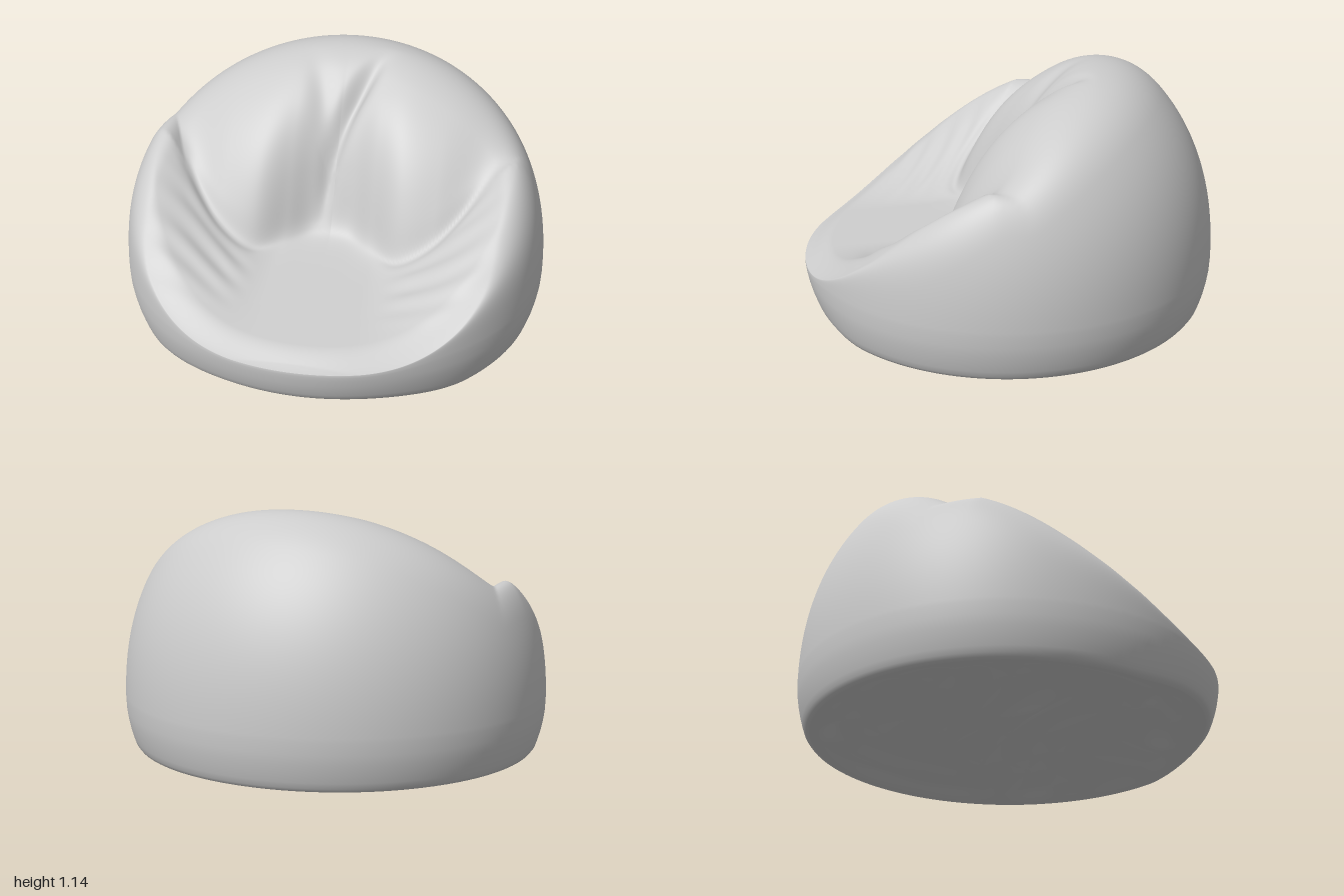
import * as THREE from 'three';

const SEG = 256;
const smooth = THREE.MathUtils.smoothstep;
const gauss = (d, w) => Math.exp(-(d * d) / (w * w));

// smooth minimum, rounds the rim where dome and seat meet
function smin(a, b, k) {
  const h = Math.max(k - Math.abs(a - b), 0);
  return Math.min(a, b) - (h * h) / (4 * k);
}

// z of the fold between seat and backrest, for half-width |x|
const foldCurve = new THREE.CatmullRomCurve3([
  [0, 0.1], [0.1, 0.12], [0.2, 0.19], [0.34, 0.28], [0.5, 0.25], [0.7, 0.1], [0.85, 0], [1.05, -0.1],
].map(([x, z]) => new THREE.Vector3(x, 0, z))).getPoints(200);

function foldZ(x) {
  const ax = Math.min(Math.abs(x), 1.04);
  const i = foldCurve.findIndex((p) => p.x > ax);
  const a = foldCurve[i - 1], b = foldCurve[i];
  return a.z + ((b.z - a.z) * (ax - a.x)) / (b.x - a.x);
}

// distance from (x, z) to the segment a-b
function segDist(x, z, a, b) {
  const dx = b[0] - a[0], dz = b[1] - a[1];
  const t = THREE.MathUtils.clamp(((x - a[0]) * dx + (z - a[1]) * dz) / (dx * dx + dz * dz), 0, 1);
  return Math.hypot(x - a[0] - t * dx, z - a[1] - t * dz);
}

// height of the sat-in hollow: seat in front, backrest pillows behind
function hollow(x, z) {
  const ax = Math.abs(x);
  const fold = foldZ(x);
  const d = fold - z;
  const g = 0.2 + 0.8 * smooth(ax, 0.22, 0.92);
  const run = Math.max(0.93 - Math.max(z, fold), 0);
  const seat = 0.268 + 0.64 * run * g - 0.05 * smooth(Math.hypot(x, z), 0.84, 1);
  // bulging backrest, highest a little to one side
  const back = 0.965 - 0.7 * z - 0.5 * z * z - 0.3 * (x - 0.08) ** 2;
  const e = d - 0.01;
  const behind = 0.5 * (e + Math.sqrt(e * e + 0.0012));
  let y = seat + Math.max(back - seat, 0) * (1 - Math.exp(-behind / 0.1));
  // fold grooves running up to the arms
  y -= 0.025 * gauss(d, 0.035) * smooth(ax, 0.2, 0.35) * (1 - smooth(ax, 0.62, 0.8));
  // slanted crease in the backrest with a shallow branch, fading at both ends
  const crease = Math.min(
    segDist(x, z, [-0.05, 0.1], [-0.03, 0]),
    segDist(x, z, [-0.03, 0], [0.19, -0.4]),
  );
  const branch = segDist(x, z, [-0.06, -0.08], [-0.16, -0.35]);
  const fade = smooth(z, -0.42, -0.15) * smooth(d, -0.01, 0.1);
  y -= fade * (0.07 * gauss(crease, 0.04) + 0.03 * gauss(crease, 0.16) + 0.02 * gauss(branch, 0.06));
  // small wrinkles on both arms
  const mask = smooth(ax, 0.28, 0.45) * (1 - smooth(ax, 0.6, 0.85)) * smooth(-d, 0.03, 0.12) * (1 - smooth(z, 0.45, 0.75));
  y += 0.006 * mask * Math.sin(50 * z + 14 * ax + 2 * Math.sin(7 * x));
  return y;
}

// the front lower edge is tucked up a little
const frontLift = (z, y) => 0.05 * smooth(z, 0.6, 0.95) * Math.max(0, 1 - y / 0.23);

// closed rings of points; the last row is a single pole
function ringSurface(rows, point, flip) {
  const pos = [], idx = [];
  for (let i = 0; i < rows; i++) {
    for (let j = 0; j < SEG; j++) pos.push(...point(i, (j / SEG) * Math.PI * 2));
  }
  pos.push(...point(rows, 0));
  const id = (i, j) => (i === rows ? rows * SEG : i * SEG + (j % SEG));
  const tri = (a, b, c) => (flip ? idx.push(a, c, b) : idx.push(a, b, c));
  for (let i = 0; i < rows; i++) {
    for (let j = 0; j < SEG; j++) {
      tri(id(i, j), id(i, j + 1), id(i + 1, j + 1));
      if (i < rows - 1) tri(id(i, j), id(i + 1, j + 1), id(i + 1, j));
    }
  }
  const geo = new THREE.BufferGeometry();
  geo.setAttribute('position', new THREE.Float32BufferAttribute(pos, 3));
  geo.setIndex(idx);
  geo.computeVertexNormals();
  return geo;
}

export function createModel() {
  const group = new THREE.Group();
  group.name = 'beanbagChair';
  const fabric = new THREE.MeshStandardMaterial({ color: 0xcccccc });
  fabric.name = 'grey fabric';

  // lower side wall as [radius, height], then the full dome pressed down by the hollow
  const wall = [[0.93, 0], [0.948, 0.006], [0.96, 0.022], [0.969, 0.048], [0.98, 0.085], [0.99, 0.13], [0.997, 0.175]];
  const DOME = 130;
  const cover = ringSurface(wall.length + DOME, (i, a) => {
    let r, y;
    if (i < wall.length) [r, y] = wall[i];
    else {
      const phi = ((i - wall.length) / DOME) * Math.PI / 2;
      r = Math.max(Math.cos(phi), 0) ** (2 / 2.2);
      y = 0.23 + 1.07 * Math.sin(phi) ** (2 / 2.2);
    }
    const x = r * Math.sin(a), z = 0.97 * r * Math.cos(a);
    if (i < wall.length) y += frontLift(z, y);
    else y = smin(y, hollow(x, z), 0.2 - 0.13 * smooth(z, 0.3, 0.8));
    return [x, y, z];
  }, false);
  const coverMesh = new THREE.Mesh(cover, fabric);
  coverMesh.name = 'cover';

  // crumpled underside
  const FLOOR = 40;
  const floor = ringSurface(FLOOR, (i, a) => {
    const r = wall[0][0] * (1 - i / FLOOR);
    const x = r * Math.sin(a), z = 0.97 * r * Math.cos(a);
    const folds = Math.abs(Math.sin(6 * x + 3 * Math.sin(4 * z))) + Math.abs(Math.sin(7 * z + 2 * Math.sin(5 * x + 1)));
    const y = frontLift(z, 0) + smooth(wall[0][0] - r, 0, 0.15) * (0.005 + 0.024 * folds);
    return [x, y, z];
  }, true);
  const floorMesh = new THREE.Mesh(floor, fabric);
  floorMesh.name = 'underside';

  group.add(coverMesh, floorMesh);
  return group;
}
